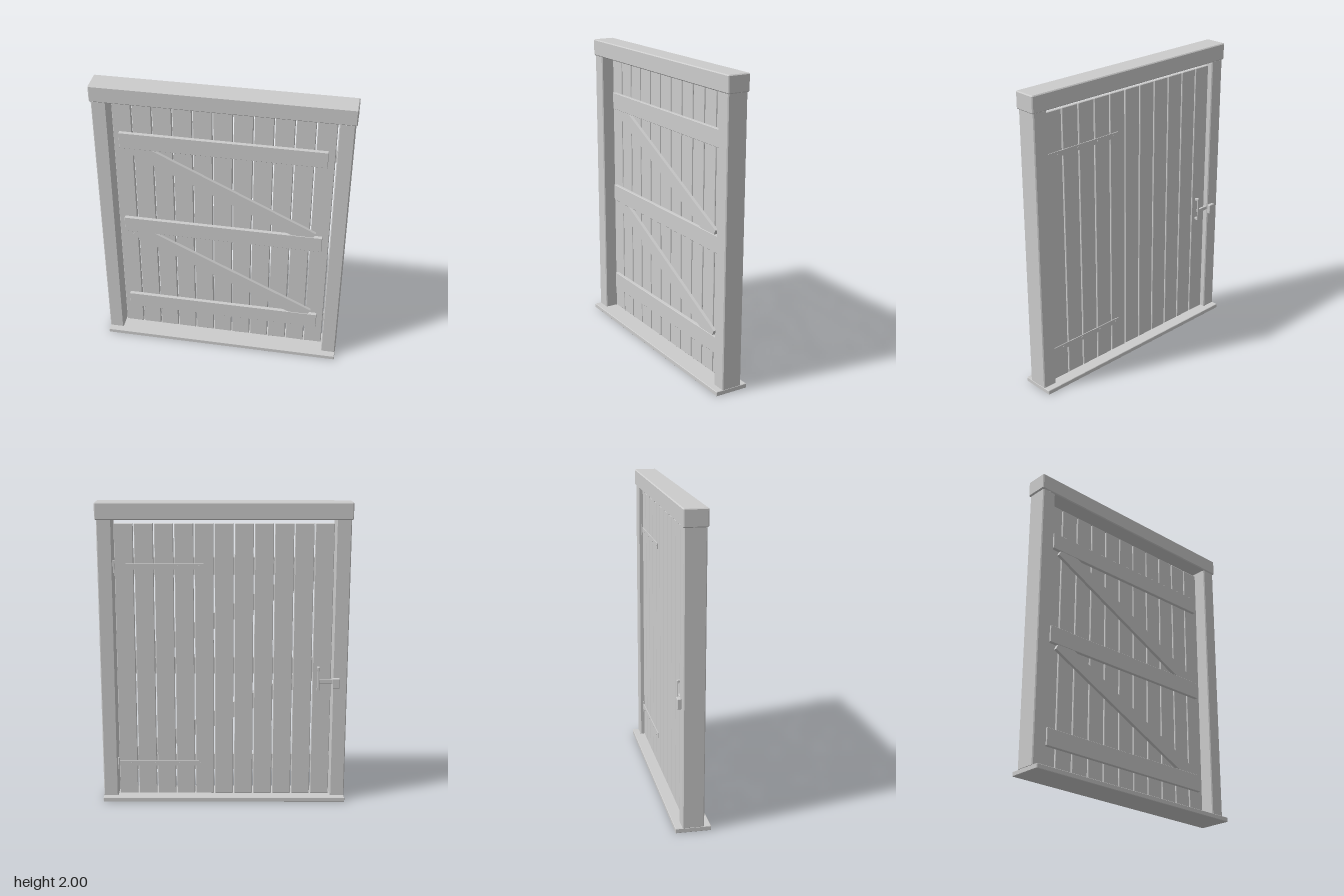
import * as THREE from 'three';
import { ConvexGeometry } from 'three/addons/geometries/ConvexGeometry.js';

const grey = new THREE.MeshStandardMaterial({ color: 0xcccccc });
grey.name = 'plain grey';

// Box with chamfered edges, hull of 24 corner points
function chamferBox(w, h, d, b) {
  const pts = [];
  for (const sx of [-1, 1]) for (const sy of [-1, 1]) for (const sz of [-1, 1]) {
    for (let k = 0; k < 3; k++) {
      pts.push(new THREE.Vector3(
        sx * (w / 2 - (k === 0 ? 0 : b)),
        sy * (h / 2 - (k === 1 ? 0 : b)),
        sz * (d / 2 - (k === 2 ? 0 : b))));
    }
  }
  return new ConvexGeometry(pts);
}

// Adds a box given by its limits; bevel 0 gives a plain box
function addBox(parent, name, [x0, x1], [y0, y1], [z0, z1], bevel = 0) {
  const size = [x1 - x0, y1 - y0, z1 - z0];
  const geo = bevel ? chamferBox(...size, bevel) : new THREE.BoxGeometry(...size);
  const mesh = new THREE.Mesh(geo, grey);
  mesh.name = name;
  mesh.position.set((x0 + x1) / 2, (y0 + y1) / 2, (z0 + z1) / 2);
  parent.add(mesh);
  return mesh;
}

function addGroup(parent, name) {
  const g = new THREE.Group();
  g.name = name;
  parent.add(g);
  return g;
}

export function createModel() {
  const model = new THREE.Group();
  model.name = 'plankDoor';

  // Frame
  const frame = addGroup(model, 'frame');
  addBox(frame, 'threshold', [-0.81, 0.81], [0, 0.03], [-0.112, 0.112], 0.003);
  addBox(frame, 'lintel', [-0.82, 0.82], [1.89, 2], [-0.075, 0.075], 0.006);
  addBox(frame, 'leftPost', [0.713, 0.81], [0.025, 1.895], [-0.068, 0.068], 0.006);
  addBox(frame, 'rightPost', [-0.81, -0.713], [0.025, 1.895], [-0.068, 0.068], 0.006);

  // Vertical planks
  const door = addGroup(model, 'door');
  const pitch = 0.1286;
  for (let i = 0; i < 11; i++) {
    const x = (i - 5) * pitch - 0.001;
    addBox(door, 'plank', [x - 0.0605, x + 0.0605], [0.035, 1.865], [-0.04, -0.012], 0.003);
  }

  // Cross battens and the diagonal braces between them
  const battenY = [0.2525, 0.924, 1.589];
  for (const y of battenY) {
    addBox(door, 'batten', [-0.665, 0.66], [y - 0.056, y + 0.056], [-0.012, 0.013], 0.002);
  }
  for (let i = 0; i < 2; i++) {
    const y = (battenY[i] + battenY[i + 1]) / 2;
    const brace = addBox(door, 'diagonalBrace', [-0.662, 0.662], [y - 0.048, y + 0.048], [-0.012, 0.01]);
    brace.rotation.z = -Math.atan(0.487);
  }

  // Strap hinges on the back
  for (const y of [battenY[0], battenY[2]]) {
    const hinge = addGroup(door, 'hinge');
    addBox(hinge, 'strap', [0.13, 0.705], [y - 0.018, y + 0.018], [-0.045, -0.039]);
    const barrel = new THREE.Mesh(new THREE.CylinderGeometry(0.006, 0.006, 0.08, 10), grey);
    barrel.name = 'hingeBarrel';
    barrel.position.set(0.707, y, -0.044);
    hinge.add(barrel);
    for (const x of [0.62, 0.46, 0.3, 0.16]) {
      const rivet = new THREE.Mesh(new THREE.CylinderGeometry(0.006, 0.006, 0.004, 8), grey);
      rivet.name = 'rivet';
      rivet.rotation.x = Math.PI / 2;
      rivet.position.set(x, y, -0.046);
      hinge.add(rivet);
    }
  }

  // Pull handle, latch bar and keeper on the back
  const latch = addGroup(model, 'latch');
  addBox(latch, 'handleGrip', [-0.628, -0.612], [0.765, 0.925], [-0.068, -0.06], 0.002);
  for (const y of [0.772, 0.918]) {
    addBox(latch, 'handleMount', [-0.628, -0.612], [y - 0.007, y + 0.007], [-0.062, -0.039]);
  }
  addBox(latch, 'latchBar', [-0.725, -0.625], [0.815, 0.84], [-0.06, -0.045], 0.002);
  addBox(latch, 'keeper', [-0.76, -0.712], [0.79, 0.855], [-0.092, -0.067], 0.003);

  return model;
}
